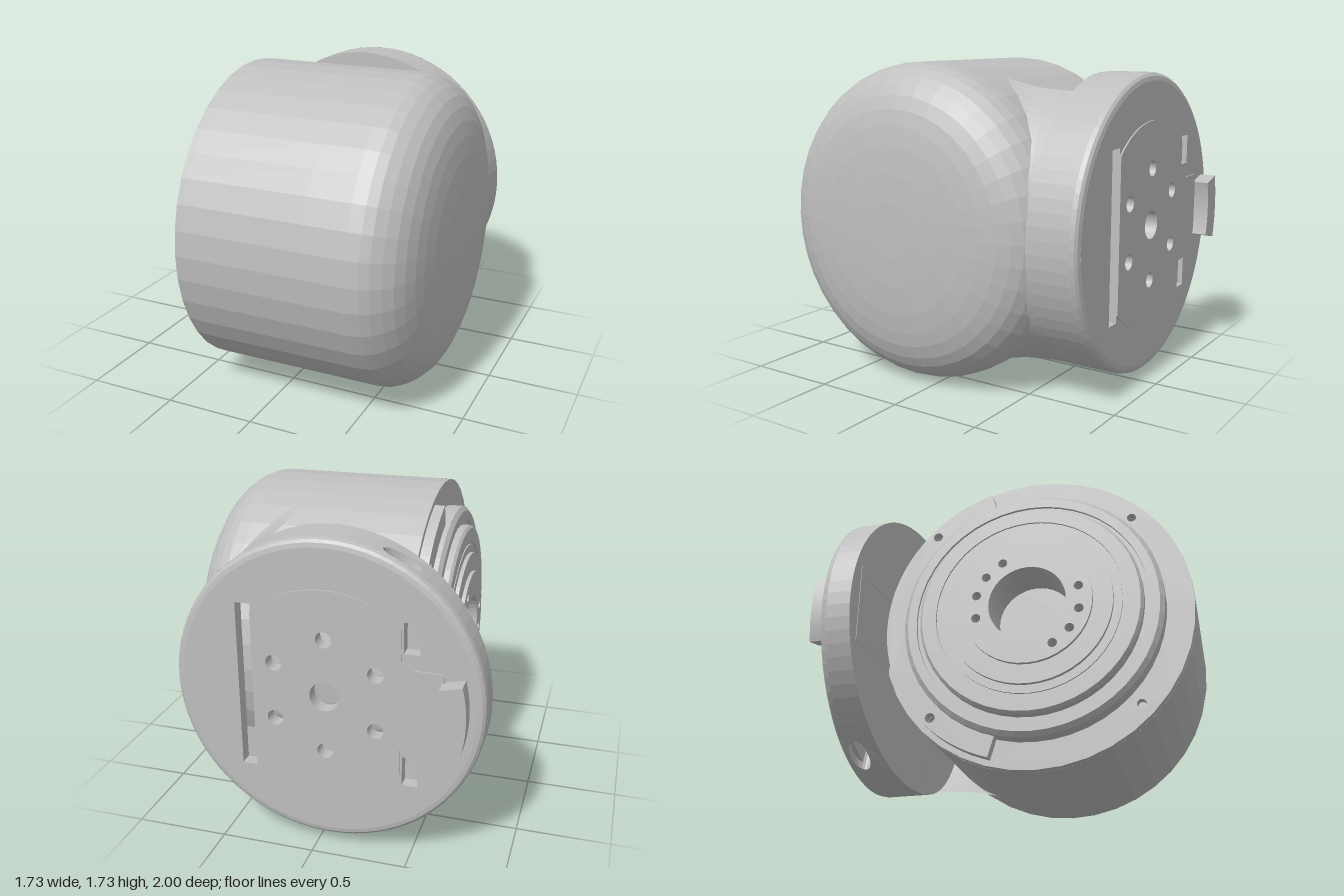
import * as THREE from 'three';

const CY = 0.87, CZ = 0.137, R = 0.863;        // main barrel axis (along x)
const FX = -0.055, FR = 0.81;                  // flange axis (along z)
const V2 = (a) => a.map(([x, y]) => new THREE.Vector2(x, y));

// Barrel radius along x
const barrel = [[0.865, -0.37], [0.863, 0.3], [R, 0.53], [0.855, 0.6], [0.835, 0.65], [0.8, 0.7], [0.755, 0.745],
  [0.7, 0.778], [0.63, 0.805], [0.55, 0.823], [0.45, 0.838], [0.3, 0.851], [0.15, 0.858], [0, 0.86]];
function barrelRadius(x) {
  for (let i = 1; i < barrel.length; i++) {
    const [r0, x0] = barrel[i - 1], [r1, x1] = barrel[i];
    if (x <= x1) return r0 + (r1 - r0) * (x - x0) / (x1 - x0);
  }
  return 0;
}

// Slanted front edge of the flange
const flangeFront = (x) => Math.min(-0.63, -0.74 + 0.115 * (x + 0.865));

function circle(r, x = 0, y = 0, type = THREE.Path) {
  const p = new type();
  p.absarc(x, y, r, 0, Math.PI * 2, false);
  return p;
}
function rect(x0, y0, x1, y1, type = THREE.Path) {
  return new type(V2([[x0, y0], [x1, y0], [x1, y1], [x0, y1]]));
}
function sector(r0, r1, a0, a1) {
  const s = new THREE.Shape();
  s.absarc(0, 0, r1, a0, a1, false);
  s.absarc(0, 0, r0, a1, a0, true);
  return s;
}
const extrude = (shape, depth, curveSegments = 16) =>
  new THREE.ExtrudeGeometry(shape, { depth, bevelEnabled: false, curveSegments });

export function createModel() {
  const group = new THREE.Group();
  const grey = new THREE.MeshStandardMaterial({ color: 0xbfbfbf, flatShading: true, side: THREE.DoubleSide });
  grey.name = 'plain grey';
  const add = (name, geo) => {
    const m = new THREE.Mesh(geo, grey);
    m.name = name;
    group.add(m);
    return m;
  };
  const latheX = (pts, n) => new THREE.LatheGeometry(V2(pts), n).rotateZ(-Math.PI / 2).translate(0, CY, CZ);
  const latheZ = (pts, n, a0 = 0, len = Math.PI * 2) =>
    new THREE.LatheGeometry(V2(pts), n, a0 + Math.PI / 2, len).rotateX(Math.PI / 2).translate(FX, CY, 0);
  // Shape drawn in (z, y), grown from x0 towards -x
  const sidePlate = (shape, x0, depth) => extrude(shape, depth, 20).rotateY(-Math.PI / 2).translate(x0, CY, CZ);
  // Shape drawn in (x, y) about the flange axis, back face at z0
  const backPlate = (shape, z0, depth) => extrude(shape, depth, 24).translate(FX, CY, z0);

  // Barrel with domed end
  add('barrel', latheX(barrel, 40));

  // Open end of the barrel: rim with screw holes
  const rim = circle(0.863, 0, 0, THREE.Shape);
  rim.holes.push(circle(0.7));
  for (let i = 0; i < 4; i++) {
    const a = Math.PI / 4 + i * Math.PI / 2;
    rim.holes.push(circle(0.025, 0.785 * Math.cos(a), 0.785 * Math.sin(a)));
  }
  add('barrelRim', sidePlate(rim, -0.365, 0.045));

  // Raised half ring on the back half of the rim
  const half = sector(0.7, 0.83, 1.86, Math.PI * 2 - 1.86);
  for (const s of [-1, 1]) half.holes.push(circle(0.027, -0.555, 0.555 * s));
  add('halfRing', sidePlate(half, -0.41, 0.055));

  // Stepped output rings and hub
  add('steppedRings', latheX([[0.34, -0.572], [0.455, -0.572], [0.455, -0.55], [0.5, -0.55], [0.5, -0.54], [0.515, -0.54],
    [0.515, -0.55], [0.595, -0.55], [0.61, -0.535], [0.61, -0.495], [0.64, -0.495], [0.64, -0.51], [0.69, -0.51],
    [0.715, -0.49], [0.715, -0.4]], 48));
  const hub = circle(0.35, 0, 0, THREE.Shape);
  hub.holes.push(circle(0.21));
  for (const flip of [0, Math.PI]) {
    for (const d of [13, -14, -38, -62]) {
      const a = d * Math.PI / 180 + flip;
      hub.holes.push(circle(0.025, 0.285 * Math.cos(a), 0.285 * Math.sin(a)));
    }
  }
  add('hub', sidePlate(hub, -0.35, 0.242));
  add('boreFloor', sidePlate(circle(0.35, 0, 0, THREE.Shape), -0.33, 0.02));

  // Flange: rounded back edge, front face and wall, the last two cut on a slant
  add('flangeEdge', latheZ([[0.765, -0.91], [0.79, -0.905], [0.804, -0.893], [FR, -0.87]], 72));
  const slant = (geo) => {
    const p = geo.attributes.position;
    for (let i = 0; i < p.count; i++) if (p.getZ(i) > -0.7) p.setZ(i, flangeFront(p.getX(i)));
    geo.computeVertexNormals();
    return geo;
  };
  add('flangeFront', slant(latheZ([[FR, -0.63], [0.6, -0.63], [0.4, -0.63], [0.2, -0.63], [0, -0.63]], 72)));
  const mid = 2.04, gap = 0.18;
  const arcs = [[mid + gap, 2 * Math.PI - mid - gap], [2 * Math.PI - mid + gap, 2 * Math.PI + mid - gap]];
  for (const [a, b] of arcs) {
    add('flangeWall', slant(latheZ([[FR, -0.87], [FR, -0.63]], Math.round((b - a) * 11.5), a, b - a)));
  }

  // Wall panels with oval cable holes, bent round the flange
  for (const a0 of [mid, 2 * Math.PI - mid]) {
    const pts = [];
    for (let i = 0; i <= 6; i++) pts.push([-gap + i * gap / 3, -0.87]);
    for (let i = 6; i >= 0; i--) {
      const s = -gap + i * gap / 3;
      pts.push([s, flangeFront(FX + FR * Math.cos(a0 + s))]);
    }
    const panel = new THREE.Shape(V2(pts));
    const oval = new THREE.Path();
    oval.absellipse(0, -0.815, 0.13, 0.05, 0, Math.PI * 2, false, 0);
    panel.holes.push(oval);
    const geo = extrude(panel, 0.12, 14), p = geo.attributes.position;
    for (let i = 0; i < p.count; i++) {
      const a = a0 + p.getX(i), r = FR - p.getZ(i);
      p.setXYZ(i, FX + r * Math.cos(a), CY + r * Math.sin(a), p.getY(i));
    }
    // the bend mirrors the solid, so turn its triangles round
    for (let i = 0; i < p.count; i += 3) {
      const q = new THREE.Vector3().fromBufferAttribute(p, i + 1);
      p.setXYZ(i + 1, p.getX(i + 2), p.getY(i + 2), p.getZ(i + 2));
      p.setXYZ(i + 2, q.x, q.y, q.z);
    }
    geo.computeVertexNormals();
    add('cableHolePanel', geo);
  }

  // Back plate with slot, two windows and bolt holes; a raised pad lies on it
  const back = circle(0.768, 0, 0, THREE.Shape);
  back.holes.push(rect(0.38, -0.45, 0.46, 0.45));
  for (const s of [-1, 1]) back.holes.push(rect(-0.48, s * 0.36 - 0.08, -0.4, s * 0.36 + 0.08));
  const pad = new THREE.Shape();
  const c = Math.acos(0.38 / 0.56), e = Math.acos(-0.39 / 0.56);
  pad.absarc(0, 0, 0.56, c, e, false);
  for (const [x, y] of [[-0.39, 0.24], [-0.46, 0.2], [-0.6, 0.2], [-0.6, -0.2], [-0.46, -0.2], [-0.39, -0.24]]) pad.lineTo(x, y);
  pad.absarc(0, 0, 0.56, -e, -c, false);
  for (const shape of [back, pad]) {
    shape.holes.push(circle(0.078));
    for (let i = 0; i < 6; i++) {
      const a = Math.PI / 2 + i * Math.PI / 3;
      shape.holes.push(circle(0.042, 0.305 * Math.cos(a), 0.305 * Math.sin(a)));
    }
  }
  add('backPlate', backPlate(back, -0.91, 0.07));
  add('backPad', backPlate(pad, -0.918, 0.01));

  // Curved locating tab
  add('locatingTab', backPlate(sector(0.61, 0.727, Math.PI - 0.255, Math.PI + 0.255), -1, 0.1));

  // Shallow frame on the slanted front face of the flange
  const frame = rect(-0.18, -0.22, 0.2, 0.22, THREE.Shape);
  frame.holes.push(rect(-0.13, -0.17, 0.2 - 0.01, 0.17));
  const frameMesh = add('frontFrame', extrude(frame, 0.005));
  frameMesh.position.set(-0.6, 0.88, flangeFront(-0.6) - 0.002);
  frameMesh.rotation.y = -Math.atan(0.115);

  // Neck: hollow skin swept from the flange edge to the barrel
  const seam = new THREE.CatmullRomCurve3([[0.31, -0.18], [0.44, -0.18], [0.535, -0.22], [0.56, -0.4], [0.61, -0.55],
    [0.67, -0.61], [0.72, -0.625]].map(([x, z]) => new THREE.Vector3(x, 0, z)));
  const aMax = Math.acos((0.31 - FX) / FR), N = 20, M = 8;
  for (const s of [1, -1]) {
    const pos = [], idx = [];
    for (let i = 0; i <= N; i++) {
      const a = aMax * (1 - i / N);
      const F = new THREE.Vector3(FX + FR * Math.cos(a), CY + s * FR * Math.sin(a), -0.635);
      const B = seam.getPoint(i / N);
      const rb = barrelRadius(B.x) * 0.997;
      B.y = CY + s * Math.sqrt(Math.max(0, rb * rb - (B.z - CZ) ** 2));
      if (i === N) B.y = CY;
      const C = new THREE.Vector3(F.x, F.y, F.z + (B.z - F.z) * 0.6);
      const curve = new THREE.QuadraticBezierCurve3(F, C, B);
      for (let j = 0; j <= M; j++) pos.push(...curve.getPoint(j / M).toArray());
    }
    for (let i = 0; i < N; i++) {
      for (let j = 0; j < M; j++) {
        const a = i * (M + 1) + j, b = a + M + 1;
        if (s > 0) idx.push(a, a + 1, b, b, a + 1, b + 1);
        else idx.push(a, b, a + 1, b, b + 1, a + 1);
      }
    }
    const geo = new THREE.BufferGeometry();
    geo.setAttribute('position', new THREE.Float32BufferAttribute(pos, 3));
    geo.setIndex(idx);
    geo.computeVertexNormals();
    add(s > 0 ? 'upperNeck' : 'lowerNeck', geo);
  }

  return group;
}
